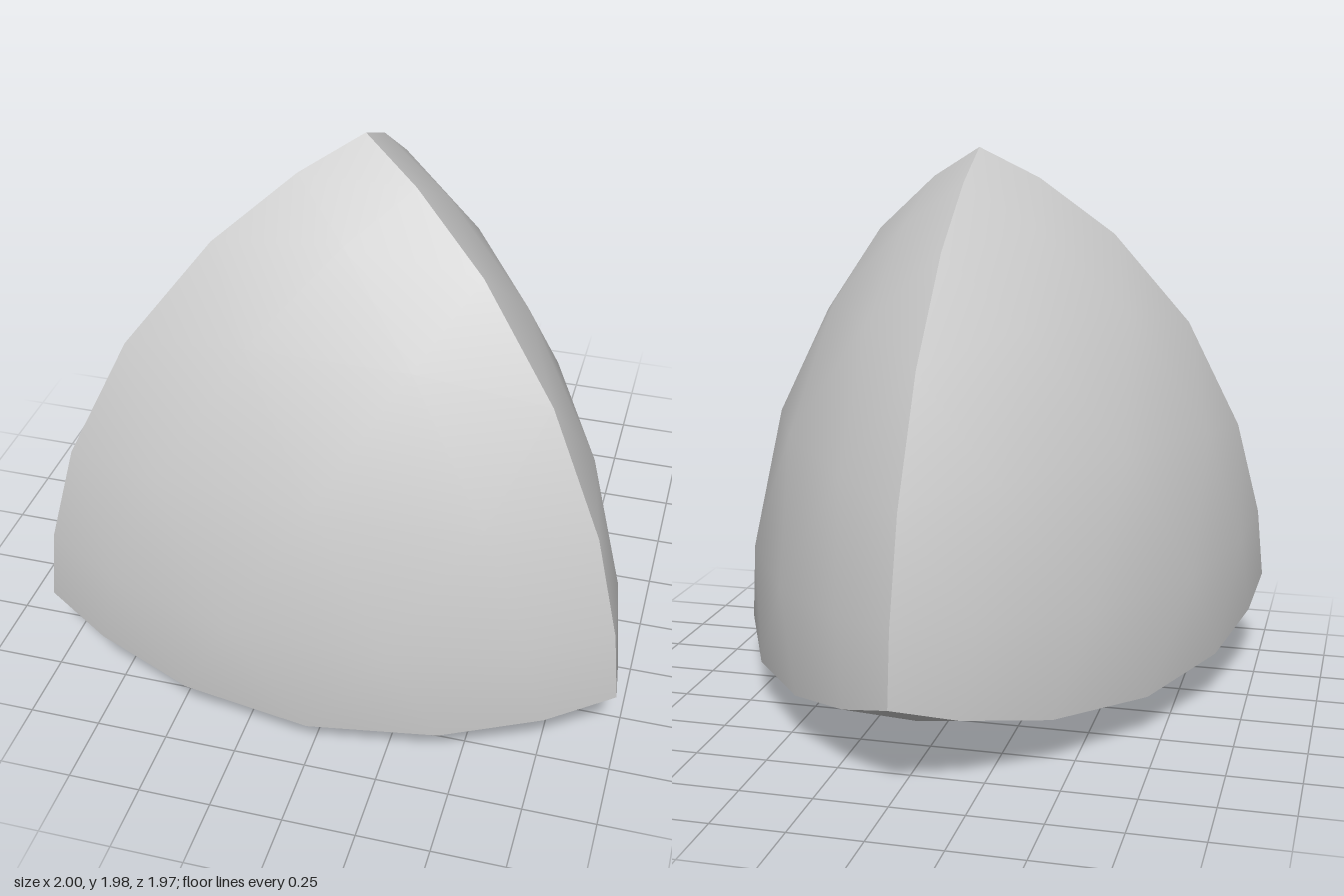
import * as THREE from 'three';

const SEGMENTS = 6;

// Corners of the tetrahedron
const top = new THREE.Vector3(0, 1.985, 0.18);
const back = new THREE.Vector3(0, 0.325, -1);
const left = new THREE.Vector3(1, 0.325, 0.735);
const right = new THREE.Vector3(-1, 0.325, 0.735);
const middle = new THREE.Vector3();
for (const p of [top, back, left, right]) middle.addScaledVector(p, 0.25);

// Each face is part of a ball through its three corners, rising by the given bulge
// (corners run anticlockwise seen from outside)
function makeFace(name, bulge, a, b, c) {
  const ab = b.clone().sub(a), ac = c.clone().sub(a);
  const normal = ab.clone().cross(ac);
  const toCentre = normal.clone().cross(ab).multiplyScalar(ac.lengthSq())
    .add(ac.clone().cross(normal).multiplyScalar(ab.lengthSq()))
    .divideScalar(2 * normal.lengthSq());
  const radius = (toCentre.lengthSq() + bulge * bulge) / (2 * bulge);
  const centre = a.clone().add(toCentre).addScaledVector(normal.normalize(), bulge - radius);
  return { name, corners: [a, b, c], centre, radius };
}

const faces = [
  makeFace('frontFace', 0.333, top, right, left),
  makeFace('leftFace', 0.328, top, left, back),
  makeFace('rightFace', 0.328, top, back, right),
  makeFace('bottomFace', 0.32, back, left, right),
];

// Push a point out from the middle until it meets the nearest ball
function inflate(p) {
  const dir = p.clone().sub(middle).normalize();
  let reach = Infinity;
  for (const { centre, radius } of faces) {
    const offset = middle.clone().sub(centre);
    const b = offset.dot(dir);
    reach = Math.min(reach, -b + Math.sqrt(b * b - offset.lengthSq() + radius * radius));
  }
  return middle.clone().addScaledVector(dir, reach);
}

// One bulged triangular face, smooth inside and sharp along its border
function faceGeometry({ corners: [a, b, c], centre }) {
  const positions = [], normals = [], index = [];
  const id = (row, col) => (row * (row + 1)) / 2 + col;
  for (let row = 0; row <= SEGMENTS; row++) {
    for (let col = 0; col <= row; col++) {
      const p = inflate(a.clone().multiplyScalar(1 - row / SEGMENTS)
        .addScaledVector(b, (row - col) / SEGMENTS)
        .addScaledVector(c, col / SEGMENTS));
      positions.push(...p.toArray());
      normals.push(...p.clone().sub(centre).normalize().toArray());
      if (row < SEGMENTS) {
        index.push(id(row, col), id(row + 1, col), id(row + 1, col + 1));
        if (col < row) index.push(id(row, col), id(row + 1, col + 1), id(row, col + 1));
      }
    }
  }
  const geometry = new THREE.BufferGeometry();
  geometry.setAttribute('position', new THREE.Float32BufferAttribute(positions, 3));
  geometry.setAttribute('normal', new THREE.Float32BufferAttribute(normals, 3));
  geometry.setIndex(index);
  return geometry;
}

export function createModel() {
  const group = new THREE.Group();
  group.name = 'roundedTetrahedron';
  const material = new THREE.MeshStandardMaterial({ color: 0xcccccc });
  for (const face of faces) {
    const mesh = new THREE.Mesh(faceGeometry(face), material);
    mesh.name = face.name;
    group.add(mesh);
  }
  return group;
}
